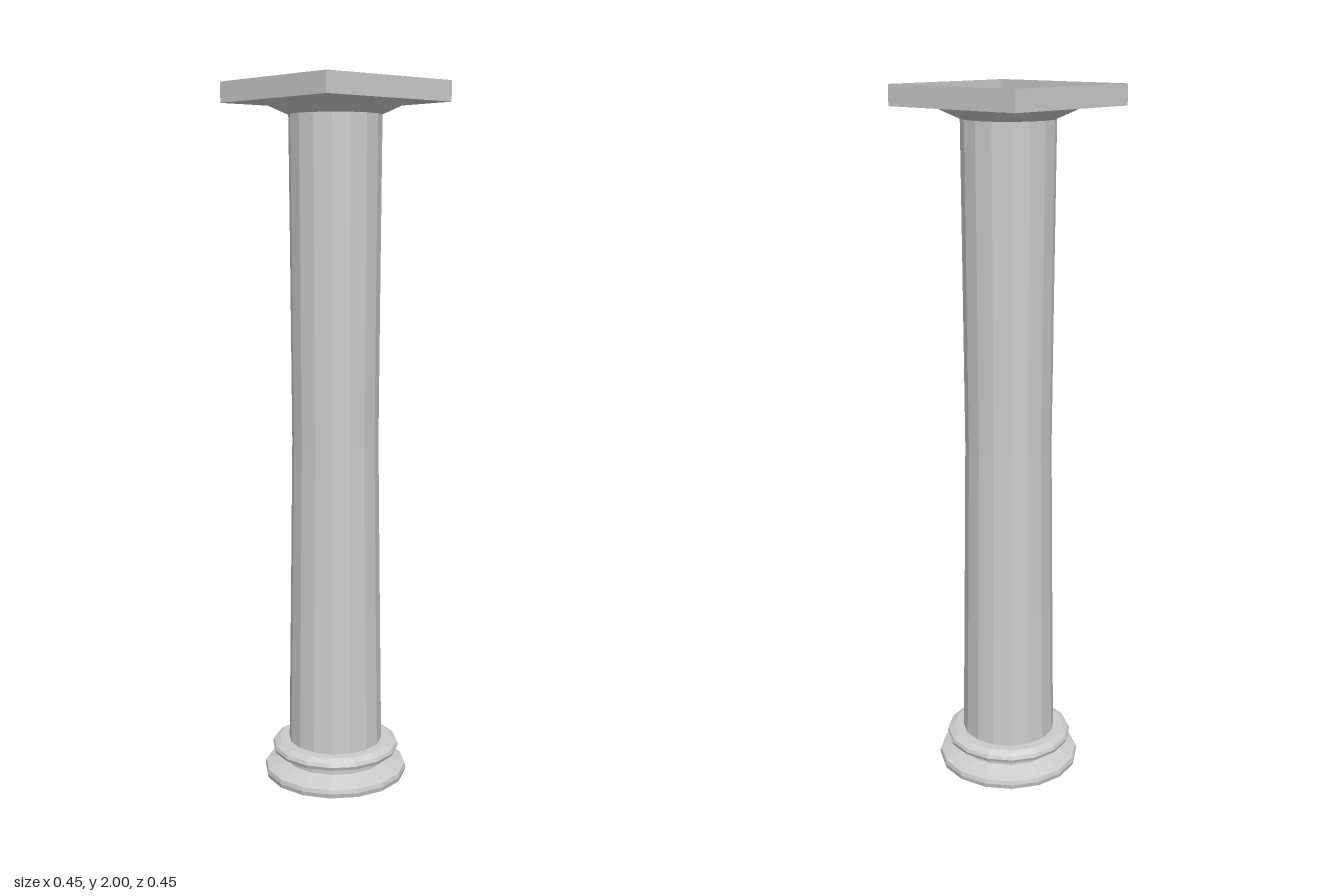
import * as THREE from 'three';

const SIDES = 16;

export function createModel() {
  const group = new THREE.Group();
  const material = new THREE.MeshStandardMaterial({
    color: 0xcccccc, flatShading: true, side: THREE.DoubleSide,
  });

  const add = (name, geometry) => {
    const mesh = new THREE.Mesh(geometry, material);
    mesh.name = name;
    group.add(mesh);
    return mesh;
  };
  // Faceted ring from [radius, height] pairs
  const turned = (name, profile) =>
    add(name, new THREE.LatheGeometry(profile.map(([r, y]) => new THREE.Vector2(r, y)), SIDES));

  // Hollow moulded base, open underneath
  turned('base', [
    [0.207, 0], [0.21, 0.013], [0.207, 0.025], [0.15, 0.046], [0.15, 0.064],
    [0.183, 0.073], [0.187, 0.083], [0.183, 0.093], [0.165, 0.103], [0.137, 0.103],
  ]);

  // Slightly waisted shaft
  turned('shaft', [[0.137, 0.103], [0.131, 0.5], [0.124, 1.0], [0.127, 1.5], [0.13, 1.91]]);

  // Flare under the top slab
  turned('capitalFlare', [[0.13, 1.91], [0.205, 1.943]]);

  // Square top slab: a floor with four thin rim walls, open above
  const half = 0.225, floorY = 1.943, rim = 2 - floorY;
  const floor = add('slabFloor', new THREE.PlaneGeometry(2 * half, 2 * half).rotateX(-Math.PI / 2));
  floor.position.y = floorY;
  for (let i = 0; i < 4; i++) {
    add('slabRim' + (i + 1), new THREE.PlaneGeometry(2 * half, rim)
      .translate(0, floorY + rim / 2, half).rotateY(i * Math.PI / 2));
  }

  return group;
}
